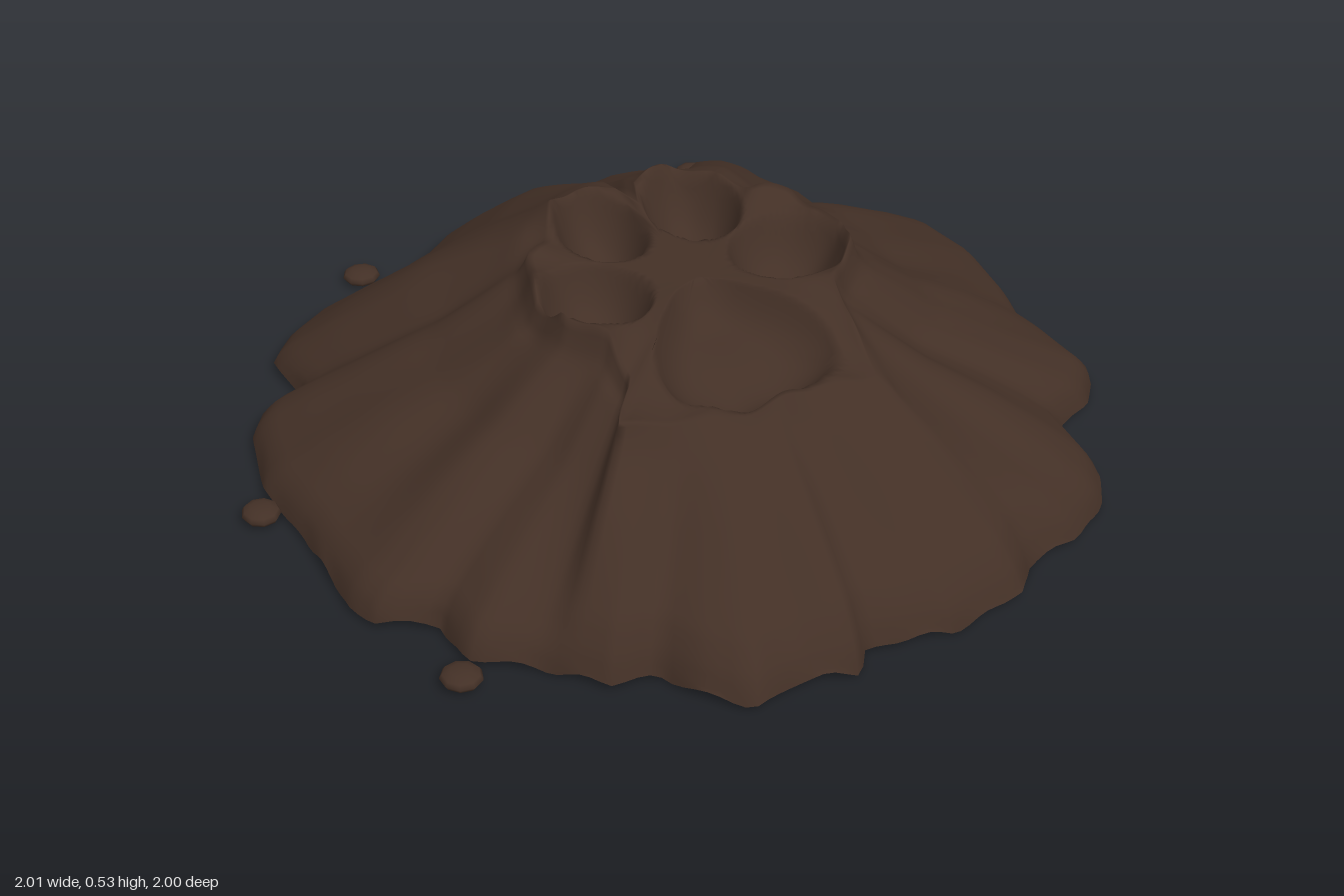
import * as THREE from 'three';

const CX = 0.02, CZ = 0.13, SEG = 220, INNER = 30, OUTER = 30;

// Outline of the mound on the ground, x and z pairs
const RIM = [0, -0.93, -0.09, -0.96, -0.19, -0.92, -0.3, -0.83, -0.47, -0.76, -0.6, -0.73, -0.7, -0.66, -0.76, -0.59,
  -0.76, -0.52, -0.74, -0.47, -0.75, -0.41, -0.86, -0.38, -0.9, -0.32, -0.94, -0.11, -0.91, 0.08, -0.9, 0.35,
  -0.87, 0.42, -0.75, 0.48, -0.74, 0.61, -0.61, 0.69, -0.5, 0.81, -0.4, 0.81, -0.35, 0.91, -0.27, 0.99,
  -0.16, 0.96, -0.02, 0.99, 0.02, 0.93, 0.21, 0.96, 0.41, 0.92, 0.48, 0.84, 0.62, 0.81, 0.74, 0.73,
  0.79, 0.64, 0.8, 0.45, 0.91, 0.41, 0.99, 0.31, 0.97, 0.16, 0.95, 0.07, 0.98, -0.05, 1, -0.24,
  0.97, -0.42, 0.94, -0.46, 0.86, -0.5, 0.79, -0.51, 0.76, -0.59, 0.75, -0.71, 0.69, -0.8, 0.61, -0.87,
  0.51, -0.9, 0.47, -0.85, 0.38, -0.85, 0.3, -0.92, 0.21, -0.97, 0.11, -0.96];

// Outline of the paw print at the summit
const PAW = [0.02, -0.17, 0, -0.25, -0.08, -0.265, -0.18, -0.22, -0.23, -0.12, -0.3, -0.07, -0.34, 0.08, -0.32, 0.2,
  -0.26, 0.28, -0.26, 0.38, -0.35, 0.5, -0.23, 0.52, 0, 0.53, 0.26, 0.52, 0.27, 0.4, 0.28, 0.28,
  0.38, 0.18, 0.41, 0.08, 0.36, -0.07, 0.27, -0.1, 0.24, -0.19, 0.13, -0.265, 0.04, -0.24];

// Four toe hollows: x, z, half width, half length, depth
const TOES = [[-0.095, -0.13, 0.105, 0.135, 0.12], [0.135, -0.13, 0.11, 0.135, 0.12],
  [-0.215, 0.11, 0.125, 0.13, 0.12], [0.26, 0.11, 0.14, 0.13, 0.12]];

const smooth = THREE.MathUtils.smoothstep;
const lerp = THREE.MathUtils.lerp;

// Farthest crossing of a ray from the centre with an outline
function reach(outline, a) {
  const dx = Math.cos(a), dz = Math.sin(a), n = outline.length / 2;
  let best = 0;
  for (let i = 0; i < n; i++) {
    const k = (i + 1) % n;
    const px = outline[2 * i] - CX, pz = outline[2 * i + 1] - CZ;
    const ex = outline[2 * k] - CX - px, ez = outline[2 * k + 1] - CZ - pz;
    const d = dx * ez - dz * ex;
    if (Math.abs(d) < 1e-9) continue;
    const r = (px * ez - pz * ex) / d, s = (px * dz - pz * dx) / d;
    if (s >= 0 && s <= 1 && r > best) best = r;
  }
  return best;
}

// Straight-line interpolation through [t, y] stops
function profile(stops, t) {
  for (let i = 1; i < stops.length; i++) {
    const [t0, y0] = stops[i - 1], [t1, y1] = stops[i];
    if (t <= t1) return lerp(y0, y1, (t - t0) / (t1 - t0));
  }
  return stops[stops.length - 1][1];
}

const SIDE = [[0, 0.49], [0.04, 0.425], [0.12, 0.39], [0.35, 0.285], [0.6, 0.205], [0.8, 0.135], [0.93, 0.085], [0.98, 0.05], [1, 0.015]];
const BACK = [[0, 0.51], [0.1, 0.475], [0.2, 0.43], [0.48, 0.315], [0.77, 0.165], [0.93, 0.075], [0.98, 0.045], [1, 0.015]];
const FRONT = [[0, 0.395], [0.06, 0.375], [0.16, 0.34], [0.4, 0.27], [0.62, 0.195], [0.85, 0.12], [0.95, 0.065], [1, 0.015]];

const edgeRipple = a => 0.012 * Math.sin(a * 9 + 1) + 0.008 * Math.sin(a * 17);

function slopeHeight(t, a) {
  const dz = Math.sin(a);
  let y = lerp(profile(SIDE, t), profile(BACK, t), smooth(-dz, 0.35, 0.85));
  y = lerp(y, profile(FRONT, t), smooth(dz, 0.45, 0.85));
  const mid = Math.sin(Math.PI * t);
  y += mid * (0.009 * Math.sin(a * 11 + t * 3) + 0.006 * Math.sin(a * 19 + 2));
  return y + edgeRipple(a) * Math.max(0, 1 - t * 10);
}

// Hollowed surface inside the print; s runs from 0 at the centre to 1 at its edge
function printHeight(x, z, s, a) {
  const ridge = 0.47 - 0.075 * smooth(z, 0.25, 0.53);
  let y = lerp(ridge, slopeHeight(0, a), Math.pow(s, 5));
  let dip = 0;
  for (const [tx, tz, w, l, d] of TOES) {
    const q = Math.hypot((x - tx) / w, (z - tz) / l);
    if (q < 1) dip = Math.max(dip, d * (1 - q ** 3));
  }
  const padWidth = 0.13 + 0.45 * THREE.MathUtils.clamp(z - 0.2, 0, 0.27);
  const q = Math.hypot((x - 0.01) / padWidth, (z - 0.335) / 0.19);
  if (q < 1) dip = Math.max(dip, 0.1 * (1 - q ** 4));
  return y - dip;
}

function makeGeometry(positions, index) {
  const g = new THREE.BufferGeometry();
  g.setAttribute('position', new THREE.Float32BufferAttribute(positions, 3));
  g.setIndex(index);
  g.computeVertexNormals();
  return g;
}

export function createModel() {
  const group = new THREE.Group();
  const soil = new THREE.MeshStandardMaterial({ color: 0x433026 });
  soil.name = 'dark soil';

  // Mound: rings from the summit to the ground
  const pos = [CX, 0.47, CZ], idx = [];
  const under = [CX, 0.02, CZ], underIdx = [];
  const spokes = [];
  for (let j = 0; j < SEG; j++) {
    const a = (j / SEG) * Math.PI * 2;
    spokes.push({ a, paw: reach(PAW, a), rim: reach(RIM, a) });
  }
  const rings = INNER + OUTER;
  for (let i = 1; i <= rings; i++) {
    for (const { a, paw, rim } of spokes) {
      const inside = i <= INNER;
      const s = Math.min(1, i / INNER);
      const u = (i - INNER) / OUTER;
      const t = inside ? 0 : u < 0.5 ? lerp(0, 0.45, Math.pow(u * 2, 1.3)) : lerp(0.45, 1, 1 - Math.pow(2 - u * 2, 1.3));
      const r = inside ? s * paw : lerp(paw, rim, t);
      const x = CX + Math.cos(a) * r, z = CZ + Math.sin(a) * r;
      let y = inside ? printHeight(x, z, s, a) : slopeHeight(t, a);
      if (i === rings) y = 0.014 + 0.007 * Math.sin(a * 23) + 0.006 * Math.sin(a * 41 + 1);
      pos.push(x, y, z);
      if (i === rings) under.push(x, y, z);
    }
  }
  const at = (i, j) => 1 + (i - 1) * SEG + (j % SEG);
  for (let j = 0; j < SEG; j++) {
    idx.push(0, at(1, j + 1), at(1, j));
    for (let i = 1; i < rings; i++) {
      idx.push(at(i, j), at(i, j + 1), at(i + 1, j));
      idx.push(at(i, j + 1), at(i + 1, j + 1), at(i + 1, j));
    }
    underIdx.push(0, 1 + j, 1 + ((j + 1) % SEG));
  }
  const mound = new THREE.Mesh(makeGeometry(pos, idx), soil);
  mound.name = 'mound';
  const underside = new THREE.Mesh(makeGeometry(under, underIdx), soil);
  underside.name = 'underside';
  group.add(mound, underside);

  // Loose crumbs around the edge
  [[-0.97, -0.04], [-0.435, -0.865], [0.545, -0.963], [-0.77, 0.655]].forEach(([x, z], i) => {
    const crumb = new THREE.Mesh(new THREE.SphereGeometry(0.047, 9, 6), soil);
    crumb.name = 'crumb' + (i + 1);
    crumb.scale.set(0.95, 0.42, 1);
    crumb.position.set(x, 0.02, z);
    crumb.rotation.y = i * 1.3;
    group.add(crumb);
  });
  return group;
}
